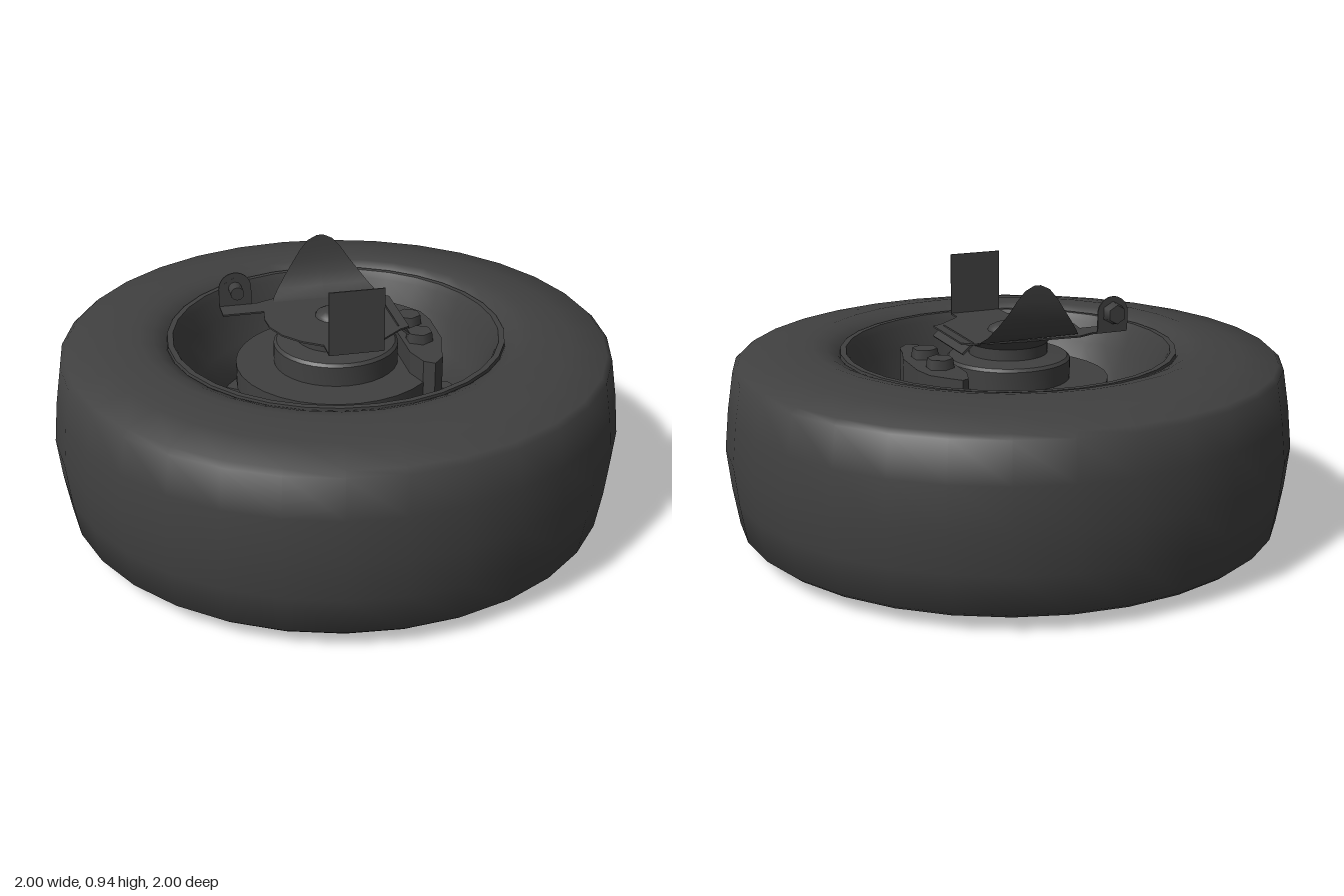
import * as THREE from 'three';
import { toCreasedNormals } from 'three/addons/utils/BufferGeometryUtils.js';

const V = (list) => list.map(([x, y]) => new THREE.Vector2(x, y));

export function createModel() {
  const group = new THREE.Group();
  const rubber = new THREE.MeshStandardMaterial({ color: 0x404040, side: THREE.DoubleSide });
  rubber.name = 'dark grey';

  const add = (name, geo, x = 0, y = 0, z = 0) => {
    const m = new THREE.Mesh(geo, rubber);
    m.name = name;
    m.position.set(x, y, z);
    group.add(m);
    return m;
  };
  const lathe = (name, pts, crease = 0.9, seg = 32) =>
    add(name, toCreasedNormals(new THREE.LatheGeometry(V(pts), seg), crease));
  // horizontal slab from an (x, z) outline, between heights y0 and y1
  const slab = (name, shape, y0, y1) => {
    const g = new THREE.ExtrudeGeometry(shape, { depth: y1 - y0, bevelEnabled: false, curveSegments: 8 });
    g.rotateX(-Math.PI / 2);
    return add(name, g, 0, y0, 0);
  };
  const outline = (pts) => new THREE.Shape(V(pts.map(([x, z]) => [x, -z])));

  // tyre
  lathe('tyre', [
    [0.585, 0.05], [0.60, 0.03], [0.64, 0.012], [0.69, 0.002], [0.82, 0.024], [0.945, 0.05], [0.963, 0.065],
    [0.985, 0.2], [1.0, 0.343], [0.985, 0.486], [0.963, 0.62], [0.945, 0.636], [0.82, 0.66],
    [0.69, 0.683], [0.64, 0.673], [0.60, 0.655], [0.585, 0.635],
  ], 0.8);

  // rim barrel, waisted where it meets the wheel disc
  lathe('rim', [
    [0.595, 0.635], [0.592, 0.66], [0.572, 0.66], [0.56, 0.635], [0.535, 0.56], [0.49, 0.45], [0.44, 0.36],
    [0.44, 0.33], [0.475, 0.23], [0.505, 0.1], [0.515, 0.045], [0.53, 0.025], [0.565, 0.025], [0.595, 0.045],
  ]);

  // wheel disc with eight windows
  const disc = new THREE.Shape().absarc(0, 0, 0.445, 0, Math.PI * 2);
  const half = 0.21;
  for (let i = 0; i < 8; i++) {
    const a = (i + 0.5) * Math.PI / 4;
    const hole = new THREE.Path();
    hole.absarc(0, 0, 0.435, a - half, a + half, false);
    hole.absarc(0, 0, 0.29, a + half * 0.9, a - half * 0.9, true);
    hole.closePath();
    disc.holes.push(hole);
  }
  const discMesh = slab('wheelDisc', disc, 0.32, 0.355);
  discMesh.geometry = toCreasedNormals(discMesh.geometry, 0.6);

  // hub cap and wheel nuts on the outer face
  lathe('hubCap', [[0, 0.295], [0.05, 0.295], [0.07, 0.305], [0.075, 0.322]], 0.6, 20);
  for (let i = 0; i < 5; i++) {
    const a = Math.PI * 0.75 + i * Math.PI * 0.4;
    add('wheelNut', new THREE.CylinderGeometry(0.033, 0.028, 0.05, 6).toNonIndexed(),
      0.15 * Math.cos(a), 0.297, 0.15 * Math.sin(a));
  }
  add('valve', new THREE.CylinderGeometry(0.03, 0.03, 0.06, 12), 0.405, 0.37, 0);

  // brake rotor and the hub joining it to the knuckle
  lathe('brakeRotor', [[0.2, 0.355], [0.2, 0.47], [0.355, 0.47], [0.355, 0.55], [0.2, 0.55]], 0.6);
  lathe('hub', [[0.22, 0.55], [0.22, 0.62], [0.21, 0.63], [0.14, 0.64], [0.14, 0.68], [0.175, 0.715]], 0.6);

  // caliper with two hex bolts
  slab('caliper', outline([
    [0.225, -0.17], [0.25, -0.25], [0.275, -0.26], [0.31, -0.22], [0.355, -0.16], [0.37, -0.08], [0.365, 0.08],
    [0.34, 0.16], [0.325, 0.23], [0.285, 0.275], [0.25, 0.25], [0.225, 0.17],
  ]), 0.44, 0.63);
  for (const z of [-0.075, 0.075]) {
    add('caliperBolt', new THREE.CylinderGeometry(0.045, 0.05, 0.035, 6).toNonIndexed(), 0.285, 0.646, z);
  }

  // knuckle plate with rounded left side and a front tab
  const plate = outline([
    [0.19, -0.15], [0.225, -0.12], [0.225, 0.15], [0.19, 0.165], [0.12, 0.225], [0.095, 0.25],
    [0.095, 0.31], [-0.095, 0.31], [-0.095, 0.235], [-0.16, 0.19], [-0.215, 0.125], [-0.245, 0.05],
    [-0.25, -0.02], [-0.24, -0.085], [-0.385, -0.085], [-0.385, -0.165], [-0.25, -0.165], [-0.19, -0.19],
  ]);
  slab('knucklePlate', plate, 0.714, 0.72);
  add('frontTab', new THREE.BoxGeometry(0.19, 0.222, 0.005), 0, 0.829, 0.3075);
  const link = add('caliperLink', new THREE.BoxGeometry(0.055, 0.008, 0.28), 0.207, 0.702, 0);
  link.rotation.z = -0.7;

  // domed centre
  lathe('centreDome', [[0.075, 0.715], [0.068, 0.73], [0.045, 0.742], [0, 0.748]], 1.2, 16);

  // curved rear flap: rows of [z, y, half width]
  const rows = [
    [-0.15, 0.718, 0.19], [-0.18, 0.725, 0.188], [-0.21, 0.75, 0.165], [-0.23, 0.79, 0.135],
    [-0.243, 0.83, 0.105], [-0.248, 0.875, 0.075], [-0.25, 0.91, 0.045], [-0.25, 0.926, 0.012],
  ];
  const flap = new THREE.PlaneGeometry(1, 1, 2, rows.length - 1);
  const p = flap.attributes.position;
  for (let i = 0; i < p.count; i++) {
    const [z, y, w] = rows[rows.length - 1 - Math.floor(i / 3)];
    p.setXYZ(i, ((i % 3) - 1) * w, y, z);
  }
  flap.computeVertexNormals();
  add('rearFlap', flap);

  // arched bracket with a bolt through it
  const arch = new THREE.Shape();
  arch.moveTo(-0.058, 0);
  arch.lineTo(0.058, 0);
  arch.lineTo(0.058, 0.065);
  arch.absarc(0, 0.065, 0.058, 0, Math.PI, false);
  arch.closePath();
  add('bracket', new THREE.ExtrudeGeometry(arch, { depth: 0.005, bevelEnabled: false }), -0.328, 0.72, -0.167);
  const head = add('bracketBoltHead', new THREE.CylinderGeometry(0.042, 0.034, 0.042, 6).toNonIndexed(), -0.328, 0.785, -0.182);
  const shaft = add('bracketBolt', new THREE.CylinderGeometry(0.024, 0.024, 0.055, 12), -0.328, 0.785, -0.136);
  head.rotation.x = shaft.rotation.x = Math.PI / 2;

  return group;
}
